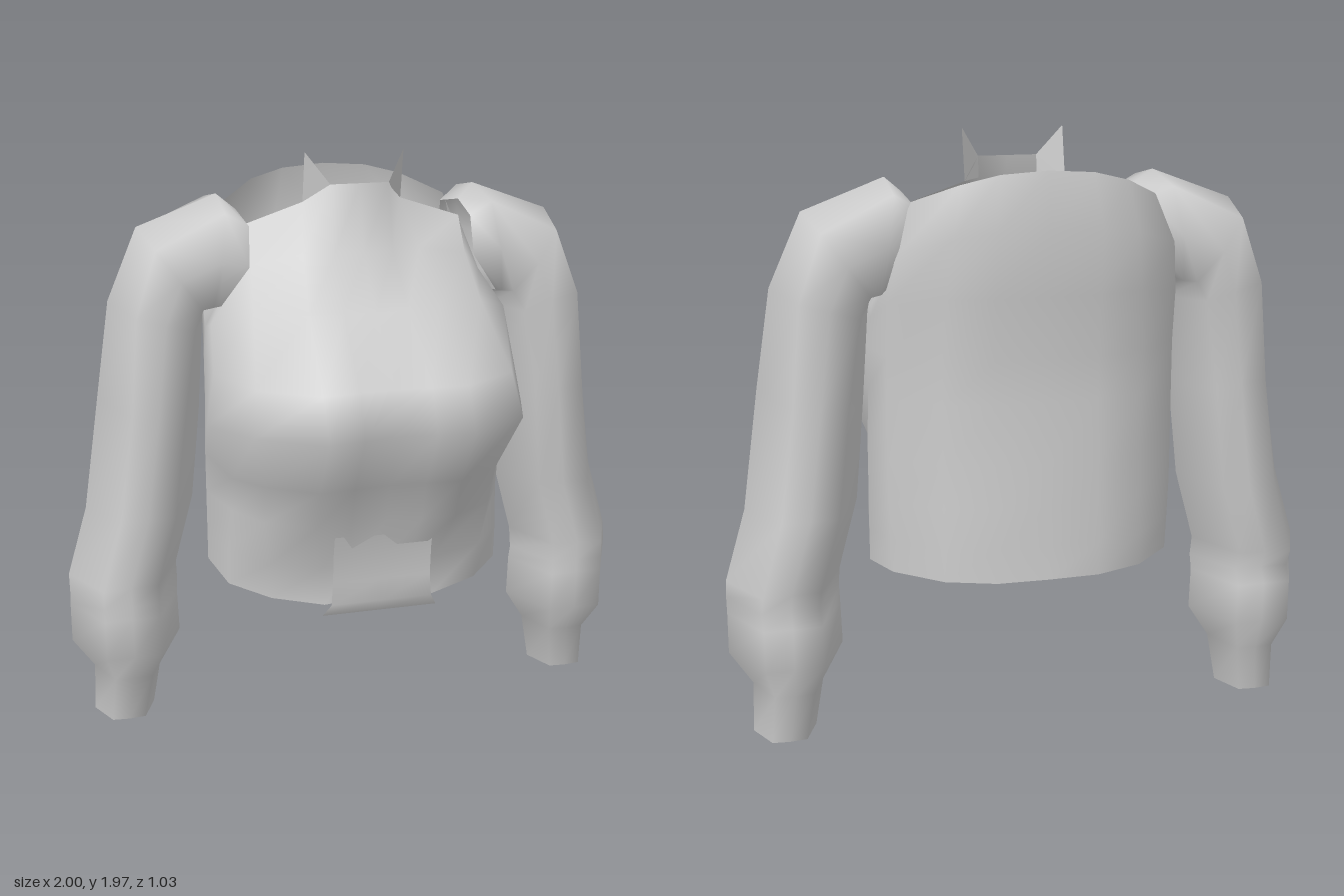
import * as THREE from 'three';

const fabric = new THREE.MeshStandardMaterial({ color: 0xcccccc, side: THREE.DoubleSide });
fabric.name = 'grey fabric';

// Smooth surface through rows of points, each row running left to right, rows going up
function loft(name, rows, closed) {
  const n = rows[0].length, index = [];
  for (let r = 0; r < rows.length - 1; r++) {
    for (let c = 0; c < (closed ? n : n - 1); c++) {
      const d = (c + 1) % n, a = r * n + c, b = r * n + d;
      index.push(a, b, b + n, a, b + n, a + n);
    }
  }
  const geo = new THREE.BufferGeometry();
  geo.setAttribute('position', new THREE.Float32BufferAttribute(rows.flat(2), 3));
  geo.setIndex(index);
  geo.computeVertexNormals();
  const mesh = new THREE.Mesh(geo, fabric);
  mesh.name = name;
  return mesh;
}

// Torso: vertical seams from hem to neckline, front centre round the left side to back centre
const frontSeams = [
  [[0, .5, .235], [0, .64, .265], [0, .8, .32], [0, .94, .365], [0, 1.14, .475], [0, 1.28, .425], [0, 1.48, .2], [0, 1.65, .055], [0, 1.87, 0]],
  [[.1, .495, .235], [.1, .64, .265], [.12, .8, .33], [.12, .94, .375], [.12, 1.14, .495], [.12, 1.28, .435], [.11, 1.48, .2], [.1, 1.65, .05], [.1, 1.87, 0]],
  [[.19, .49, .24], [.19, .62, .23], [.24, .8, .33], [.24, .94, .385], [.24, 1.14, .515], [.24, 1.28, .44], [.22, 1.48, .19], [.2, 1.65, .025], [.17, 1.8, -.1]],
  [[.36, .51, .18], [.37, .64, .2], [.39, .8, .23], [.4, .94, .27], [.45, 1.14, .38], [.43, 1.28, .32], [.39, 1.48, .11], [.37, 1.62, 0], [.38, 1.73, -.105]],
  [[.48, .525, .05], [.48, .65, .06], [.47, .8, .08], [.47, .92, .1], [.55, 1.11, .1], [.52, 1.28, .08], [.51, 1.43, .01], [.44, 1.55, -.06], [.38, 1.72, -.105]],
];
const backSeams = [
  [[.515, .55, -.14], [.515, .66, -.14], [.515, .8, -.14], [.515, .94, -.14], [.51, 1.14, -.14], [.51, 1.28, -.14], [.5, 1.38, -.16], [.5, 1.42, -.17], [.5, 1.45, -.18]],
  [[.47, .56, -.31], [.475, .67, -.31], [.48, .8, -.31], [.48, .94, -.31], [.48, 1.14, -.31], [.48, 1.28, -.31], [.48, 1.45, -.33], [.45, 1.62, -.39], [.4, 1.77, -.34]],
  [[.33, .56, -.45], [.33, .67, -.45], [.33, .8, -.445], [.33, .94, -.44], [.33, 1.14, -.44], [.33, 1.28, -.44], [.32, 1.48, -.455], [.3, 1.67, -.475], [.27, 1.83, -.45]],
  [[.17, .56, -.51], [.17, .67, -.505], [.17, .8, -.5], [.17, .94, -.49], [.17, 1.14, -.48], [.17, 1.28, -.48], [.17, 1.48, -.495], [.17, 1.69, -.515], [.15, 1.86, -.475]],
  [[0, .56, -.515], [0, .67, -.505], [0, .8, -.5], [0, .94, -.49], [0, 1.14, -.48], [0, 1.28, -.48], [0, 1.48, -.495], [0, 1.69, -.515], [0, 1.87, -.485]],
];

function makeTorso() {
  const half = [...frontSeams, ...backSeams];
  const mirrored = half.slice(1, -1).reverse().map(seam => seam.map(([x, y, z]) => [-x, y, z]));
  const seams = [...half, ...mirrored];
  return loft('torso', half[0].map((_, r) => seams.map(seam => seam[r])), true);
}

// Sleeve rings: inner x, inner y, outer x, outer y, back z, front z, inward bow,
// then how far the corner points reach across and in depth
const sleeveRings = [
  [.72, 0, .93, 0, -.31, -.07, 0, .55, .95],
  [.69, .17, .925, .17, -.34, -.03, 0, .55, .95],
  [.62, .28, 1, .28, -.38, .035, 0, .5, 1],
  [.625, .42, 1, .42, -.38, .035, 0, .5, 1],
  [.625, .47, 1, .47, -.35, .035, 0, .5, 1],
  [.625, .54, 1, .53, -.38, .035, 0, .5, 1],
  [.56, .78, .93, .77, -.38, .04, 0, .5, 1],
  [.53, 1.1, .875, 1.16, -.38, .07, 0, .5, 1],
  [.51, 1.4, .825, 1.49, -.39, .07, 0, .6, .95],
  [.505, 1.44, .72, 1.73, -.415, .07, 0, .7, .85],
  [.505, 1.45, .45, 1.83, -.4, .065, 0, .81, .8],
  [.51, 1.46, .39, 1.78, -.33, .05, .065, .81, .85],
];

function makeSleeve(name, side) {
  const rows = sleeveRings.map(([xi, yi, xo, yo, zb, zf, bow, across, deep]) => {
    const ring = [[0, 1], [across, deep], [1, 0], [across, -deep],
      [0, -1], [-across, -deep], [-1, 0], [-across, deep]];
    if (side < 0) ring.reverse();
    return ring.map(([s, c]) => {
      const t = (s + 1) / 2;
      const x = xi + (xo - xi) * t - bow * (1 - s * s);
      return [side * x, yi + (yo - yi) * t, (zb + zf) / 2 + (zf - zb) / 2 * c];
    });
  });
  return loft(name, rows, true);
}

export function createModel() {
  const model = new THREE.Group();
  model.name = 'croppedTop';
  model.add(makeTorso(), makeSleeve('leftSleeve', 1), makeSleeve('rightSleeve', -1));

  // Pointed collar corners
  for (const s of [1, -1]) {
    const low = [[s * .1, 1.8, -.01], [s * .17, 1.8, -.1]];
    const high = [[s * .1, 1.87, 0], [s * .17, 1.97, -.065]];
    if (s < 0) { low.reverse(); high.reverse(); }
    model.add(loft(s > 0 ? 'leftCollarPoint' : 'rightCollarPoint', [low, high], false));
  }

  // Flared tab growing out of the middle of the front hem
  const tab = [[.2, .455, .25], [.175, .5, .275], [.17, .58, .275], [.17, .68, .285], [.17, .76, .305]];
  model.add(loft('hemTab', tab.map(([w, y, z]) => [[-w, y, z], [0, y, z], [w, y, z]]), false));
  return model;
}
